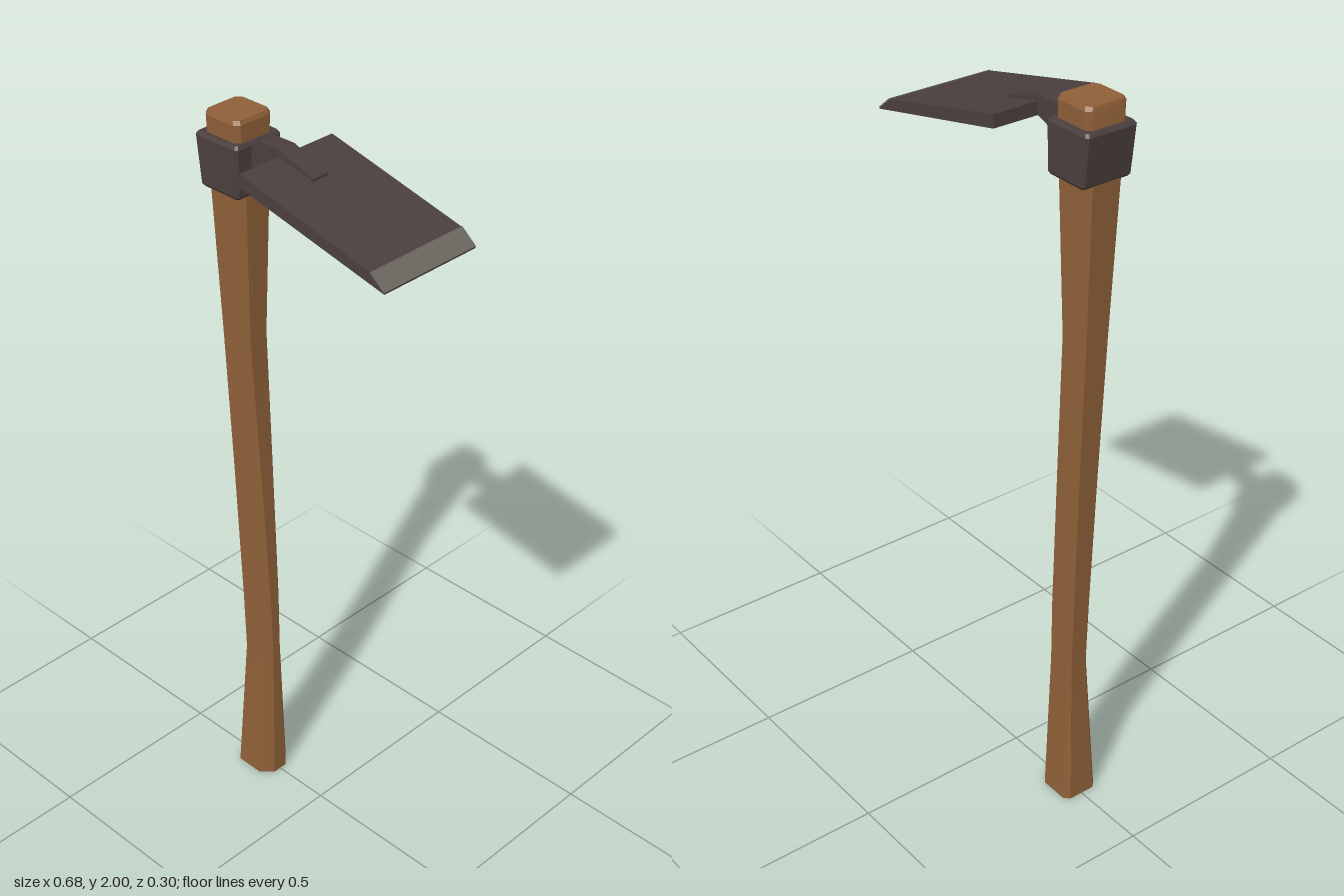
import * as THREE from 'three';
import { toCreasedNormals } from 'three/addons/utils/BufferGeometryUtils.js';

const wood = new THREE.MeshStandardMaterial({ color: 0x8f6038 });
wood.name = 'wood';
const iron = new THREE.MeshStandardMaterial({ color: 0x4a3f3e });
iron.name = 'darkIron';
const steel = new THREE.MeshStandardMaterial({ color: 0x6b6861 });
steel.name = 'groundSteel';

// Horizontal chamfered rectangle, counterclockwise seen from above;
// cl and cr are the chamfers on the left and right ends.
function ring(y, x0, x1, h, cl, cr) {
  return [
    [x1, h - cr], [x1, cr - h], [x1 - cr, -h], [x0 + cl, -h],
    [x0, cl - h], [x0, h - cl], [x0 + cl, h], [x1 - cr, h],
  ].map(([x, z]) => [x, y, z]);
}

// Skin a stack of rings and close both ends.
function loft(rings) {
  const n = rings[0].length, last = (rings.length - 1) * n, index = [];
  for (let j = 0; j < rings.length - 1; j++) {
    for (let i = 0; i < n; i++) {
      const a = j * n + i, b = j * n + (i + 1) % n;
      index.push(a, b, b + n, a, b + n, a + n);
    }
  }
  for (let i = 1; i < n - 1; i++) {
    index.push(0, i + 1, i, last, last + i, last + i + 1);
  }
  const g = new THREE.BufferGeometry();
  g.setAttribute('position', new THREE.Float32BufferAttribute(rings.flat(2), 3));
  g.setIndex(index);
  return toCreasedNormals(g, 0.4);
}

// Side profile in x, y extruded to a width centred on z = 0.
function slab(points, width) {
  const shape = new THREE.Shape(points.map(([x, y]) => new THREE.Vector2(x, y)));
  const g = new THREE.ExtrudeGeometry(shape, { depth: width, bevelEnabled: false });
  return g.translate(0, 0, -width / 2);
}

export function createModel() {
  const model = new THREE.Group();
  model.name = 'hoe';
  const add = (name, geometry, material) => {
    const mesh = new THREE.Mesh(geometry, material);
    mesh.name = name;
    model.add(mesh);
  };

  // Curved handle, flared at both ends
  add('handle', loft([
    ring(0, -0.287, -0.163, 0.052, 0.014, 0.03),
    ring(0.42, -0.263, -0.17, 0.033, 0.01, 0.021),
    ring(0.6, -0.269, -0.174, 0.034, 0.01, 0.02),
    ring(1.0, -0.286, -0.194, 0.038, 0.01, 0.018),
    ring(1.4, -0.306, -0.216, 0.043, 0.011, 0.016),
    ring(1.81, -0.326, -0.208, 0.052, 0.012, 0.014),
    ring(1.99, -0.328, -0.212, 0.059, 0.012, 0.012),
    ring(2.0, -0.324, -0.217, 0.055, 0.012, 0.012),
  ]), wood);

  // Iron collar with softened edges
  add('collar', loft([
    ring(1.81, -0.324, -0.206, 0.067, 0.006, 0.006),
    ring(1.817, -0.33, -0.201, 0.071, 0.006, 0.006),
    ring(1.938, -0.343, -0.2, 0.073, 0.006, 0.006),
    ring(1.946, -0.337, -0.206, 0.068, 0.006, 0.006),
  ]), iron);

  // Bent neck running onto the blade
  add('neck', slab([
    [-0.21, 1.878], [-0.185, 1.88], [-0.11, 1.908], [0, 1.89],
    [0, 1.921], [-0.11, 1.958], [-0.17, 1.957], [-0.21, 1.935],
  ], 0.05), iron);

  // Broad sloping blade
  add('blade', slab([
    [-0.11, 1.906], [0.34, 1.807], [0.34, 1.811], [0.297, 1.845], [-0.11, 1.94],
  ], 0.3), iron);

  // Sharpened bevel along the cutting edge
  add('cuttingEdge', slab([
    [0.297, 1.843], [0.339, 1.81], [0.341, 1.812], [0.298, 1.847],
  ], 0.301), steel);

  return model;
}
